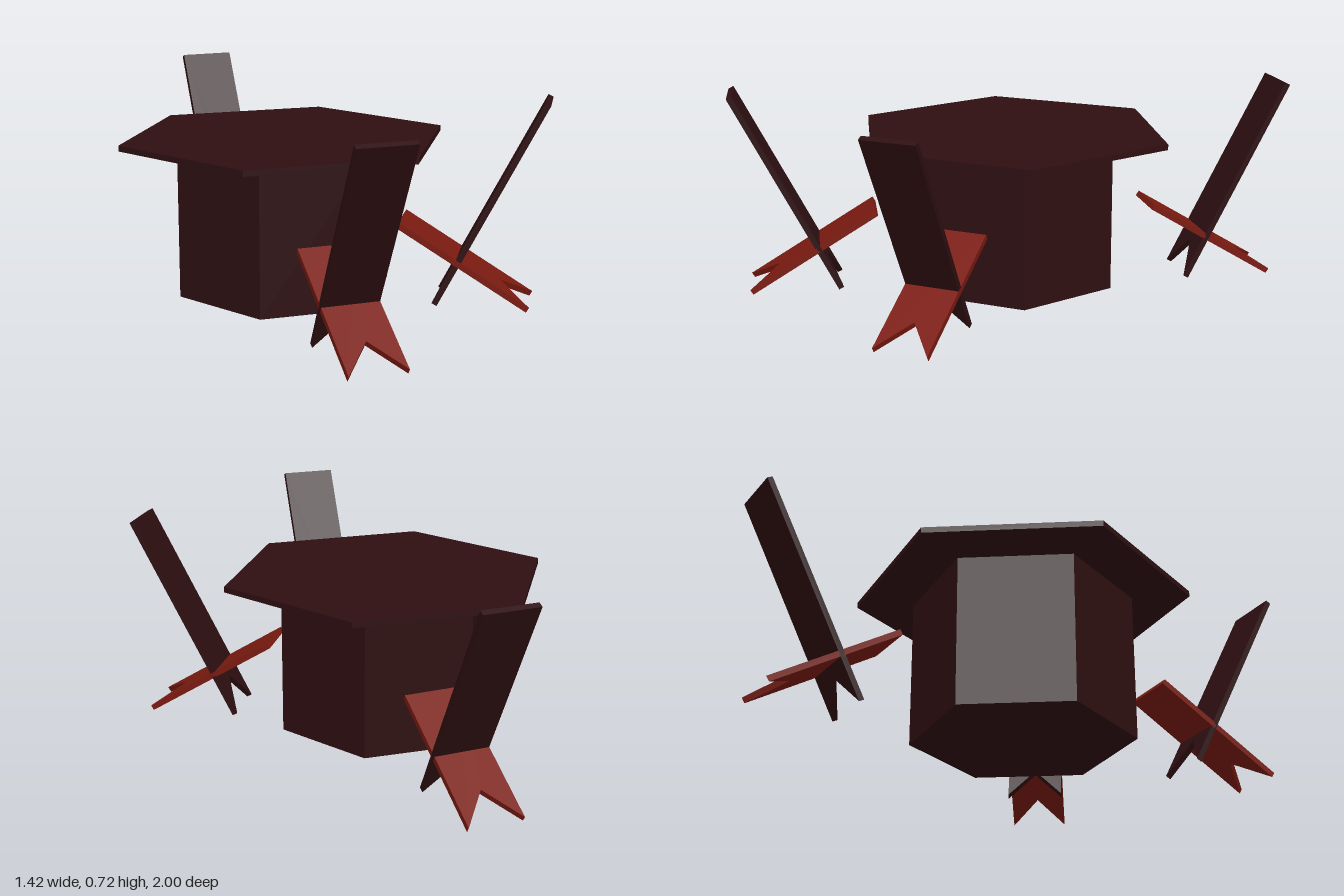
import * as THREE from 'three';

const WIDTH = 0.196, THICK = 0.02, NOTCH = 0.125;

const dark = new THREE.MeshStandardMaterial({ color: 0x2e0f11, flatShading: true });
const red = new THREE.MeshStandardMaterial({ color: 0x7a1a10, flatShading: true });

// Hexagonal slab with corners pointing along x
function hexagon(name, radius, y0, y1) {
  const geometry = new THREE.CylinderGeometry(radius, radius, y1 - y0, 6, 1, false, Math.PI / 2);
  const mesh = new THREE.Mesh(geometry, dark);
  mesh.name = name;
  mesh.position.set(-0.125, (y0 + y1) / 2, 0);
  return mesh;
}

// Flat board with a V cut in its lower end, leaning from foot to top, each [z, y]
function plank(name, foot, top, material) {
  const dz = top[0] - foot[0], dy = top[1] - foot[1];
  const length = Math.hypot(dz, dy), w = WIDTH / 2;
  const shape = new THREE.Shape([
    [-w, 0], [0, NOTCH], [w, 0], [w, length], [-w, length],
  ].map(([x, y]) => new THREE.Vector2(x, y)));
  const geometry = new THREE.ExtrudeGeometry(shape, { depth: THICK, bevelEnabled: false });
  geometry.translate(0, 0, -THICK / 2);
  const mesh = new THREE.Mesh(geometry, material);
  mesh.name = name;
  mesh.rotation.x = Math.atan2(dz, dy);
  mesh.position.set(0, foot[1], foot[0]);
  return mesh;
}

// Two crossed planks; local +z points away from the table
function chair(name, x, z, dirX, dirZ) {
  const group = new THREE.Group();
  group.name = name;
  group.add(
    plank('chairBack', [-0.078, 0.01], [0.285, 0.716], dark),
    plank('chairSeat', [0.24, 0.01], [-0.21, 0.284], red),
  );
  group.position.set(x, 0, z);
  group.rotation.y = Math.atan2(dirX, dirZ);
  return group;
}

export function createModel() {
  const model = new THREE.Group();
  model.name = 'tableWithChairs';
  model.add(
    hexagon('tableTop', 0.587, 0.54, 0.56),
    hexagon('tableBase', 0.386, 0.01, 0.545),
    chair('frontChair', -0.137, 0.705, 0.03, 1),
    chair('backChair', -0.13, -0.7, -0.1, -0.995),
    chair('sideChair', 0.409, 0.32, 0.866, 0.5),
  );
  return model;
}
